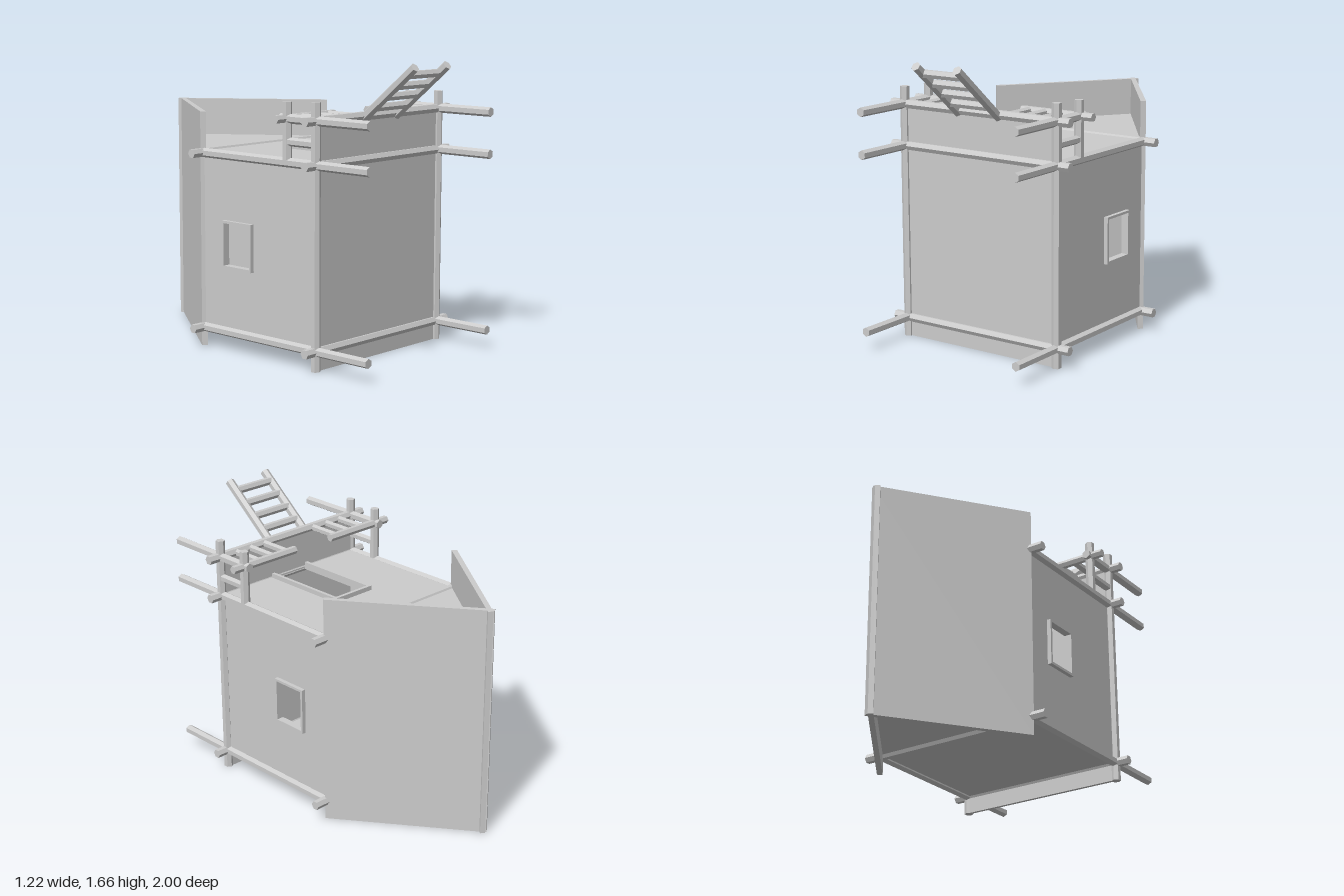
import * as THREE from 'three';

const mat = new THREE.MeshStandardMaterial({ color: 0xcccccc, flatShading: true, side: THREE.DoubleSide });

// Closed outline from [a, b] pairs, with optional holes
function outline(points, holes = []) {
  const shape = new THREE.Shape(points.map(p => new THREE.Vector2(...p)));
  for (const h of holes) shape.holes.push(new THREE.Path(h.map(p => new THREE.Vector2(...p))));
  return shape;
}
const rect = (a0, b0, a1, b1) => [[a0, b0], [a1, b0], [a1, b1], [a0, b1]];

export function createModel() {
  const model = new THREE.Group();

  function add(name, geometry) {
    const mesh = new THREE.Mesh(geometry, mat);
    mesh.name = name;
    model.add(mesh);
    return mesh;
  }

  // Six-sided log running from a to b
  function log(name, a, b, r = 0.027) {
    const from = new THREE.Vector3(...a), to = new THREE.Vector3(...b);
    const dir = to.clone().sub(from);
    const mesh = add(name, new THREE.CylinderGeometry(r, r, dir.length(), 6));
    mesh.position.copy(from).add(to).multiplyScalar(0.5);
    mesh.quaternion.setFromUnitVectors(new THREE.Vector3(0, 1, 0), dir.normalize());
  }

  // Slab drawn in (x, z), with its top at y
  function flatSlab(name, shape, y, depth) {
    const g = new THREE.ExtrudeGeometry(shape, { depth, bevelEnabled: false });
    add(name, g.rotateX(Math.PI / 2).translate(0, y, 0));
  }

  // Slab drawn in (z, y), with its outermost +x face at x
  function sideSlab(name, shape, x, depth) {
    const g = new THREE.ExtrudeGeometry(shape, { depth, bevelEnabled: false });
    add(name, g.rotateY(-Math.PI / 2).translate(x, 0, 0));
  }

  // Platform slab across the front
  const platform = new THREE.BoxGeometry(1.02, 1.36, 0.02);
  add('platform', platform.translate(0, 0.68, 0.618));

  // Door wall and opposite wall, each with its gable
  const gable = [[-0.51, 0.62], [0.51, 0.62], [0.51, -0.25], [0, -0.965], [-0.51, -0.25]];
  const doorway = rect(-0.11, 0.07, 0.135, 0.6);
  flatSlab('doorWall', outline(gable, [doorway]), 1.135, 0.015);
  flatSlab('rearWall', outline(gable), 0.12, 0.015);
  flatSlab('doorFrame', outline([
    [-0.13, 0.6], [-0.13, 0.05], [0.155, 0.05], [0.155, 0.6],
    [0.135, 0.6], [0.135, 0.07], [-0.11, 0.07], [-0.11, 0.6]]), 1.162, 0.045);

  // Side walls with framed windows
  const opening = rect(-0.06, 0.495, 0.14, 0.738);
  for (const s of [1, -1]) {
    sideSlab('sideWall', outline(rect(-0.25, 0.11, 0.62, 1.13), [opening]), s * 0.51 + 0.008, 0.016);
    sideSlab('windowFrame', outline(rect(-0.075, 0.48, 0.155, 0.752), [opening]), s * 0.52 + 0.022, 0.044);
  }

  // Roof sheets, crossing slightly at the ridge
  for (const s of [1, -1]) {
    const sheet = [[0.535, -0.25], [-0.005, -1], [-0.029, -0.983], [0.511, -0.228]];
    flatSlab('roofSheet', outline(sheet.map(([x, z]) => [s * x, z])), 1.356, 1.356);
  }

  // Cross logs
  for (const [y, z] of [[1.36, 0.625], [1.122, 0.625], [0.11, 0.625], [1.122, -0.245], [0.11, -0.245]]) {
    log('crossLog', [-0.61, y, z], [0.61, y, z]);
  }

  for (const s of [1, -1]) {
    const x = s * 0.52;
    // Platform edge logs, stilts and porch posts
    log('platformEdgeLog', [x, 0, 0.625], [x, 1.46, 0.625]);
    log('stilt', [x, 0.11, -0.25], [x, 0.11, 1]);
    log('stilt', [x, 1.122, -0.25], [x, 1.122, 1]);
    log('porchPost', [x, 1.36, 0.37], [x, 1.36, 1]);

    // Porch railing
    log('sideRail', [x, 1.135, 0.415], [x, 1.45, 0.415]);
    log('frontRail', [s * 0.14, 1.36, 0.41], [s * 0.61, 1.36, 0.41], 0.024);
    log('sideBaluster', [x, 1.235, 0.415], [x, 1.235, 0.62], 0.024);
    for (const bx of [0.195, 0.302, 0.408]) {
      log('frontBaluster', [s * bx, 1.36, 0.41], [s * bx, 1.36, 0.62], 0.021);
    }

    // Ladder rails
    log('ladderRail', [s * 0.138, 1.345, 0.625], [s * 0.138, 1.64, 0.983]);
  }

  // Ladder rungs
  for (let i = 0; i < 4; i++) {
    const y = 1.41 + i * 0.062, z = 0.7 + i * 0.0755;
    log('ladderRung', [-0.138, y, z], [0.138, y, z], 0.024);
  }

  return model;
}
